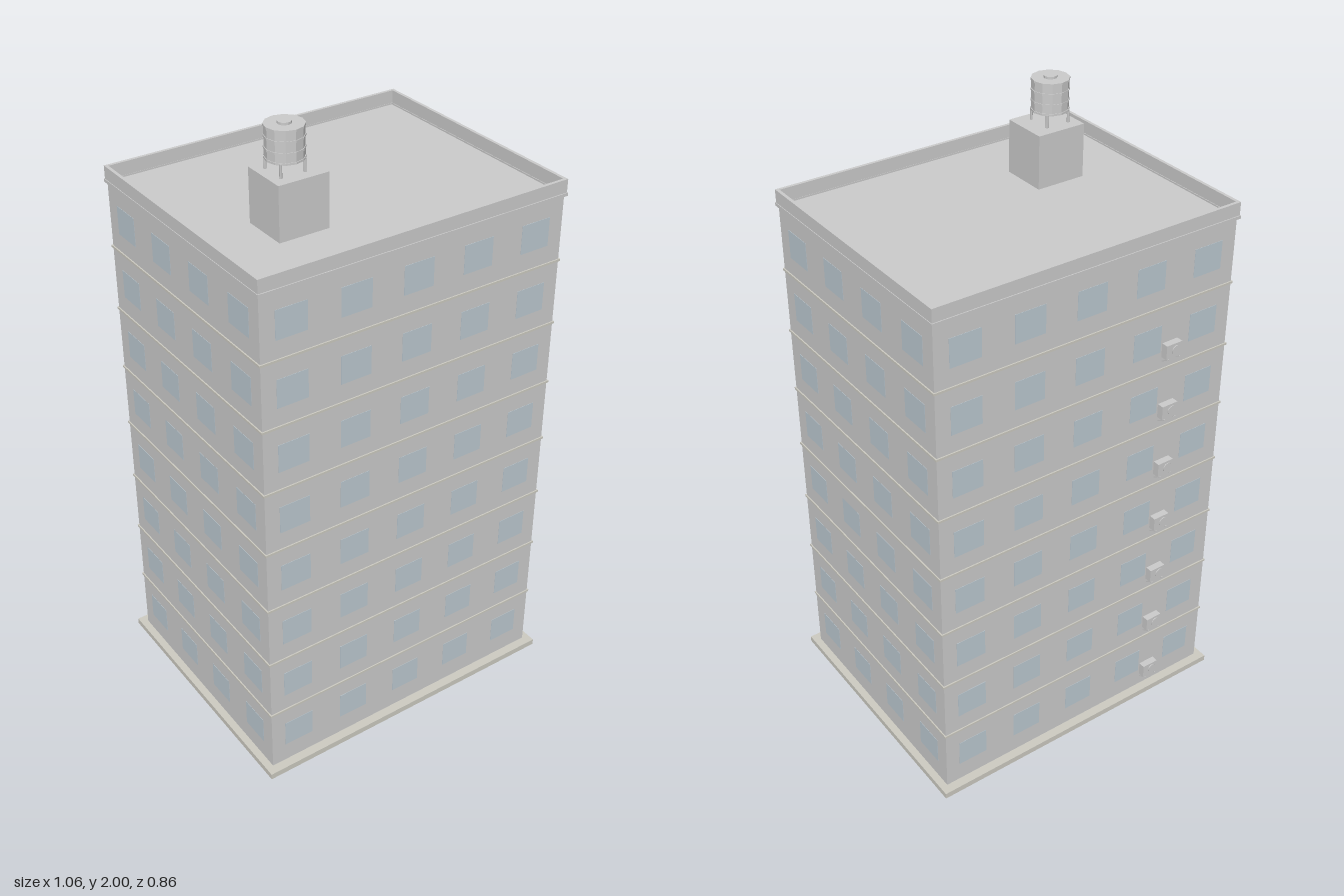
import * as THREE from 'three';

const grey = new THREE.MeshStandardMaterial({ color: 0xcccccc });
const glass = new THREE.MeshStandardMaterial({ color: 0xbcc9d1 });
const stone = new THREE.MeshStandardMaterial({ color: 0xcdcbc2 });
const tankMetal = new THREE.MeshStandardMaterial({ color: 0xcccccc, flatShading: true });

function add(parent, name, geometry, material, x, y, z) {
  const mesh = new THREE.Mesh(geometry, material);
  mesh.name = name;
  mesh.position.set(x, y, z);
  parent.add(mesh);
  return mesh;
}

// Box given by its size, its centre in x and z, and its bottom
function box(parent, name, w, h, d, x, y0, z, material = grey) {
  return add(parent, name, new THREE.BoxGeometry(w, h, d), material, x, y0 + h / 2, z);
}

// Rectangular ring, extruded upward from y0
function ring(parent, name, halfX, halfZ, thickness, height, y0, material = grey) {
  const rect = (path, a, b) =>
    path.moveTo(-a, -b).lineTo(a, -b).lineTo(a, b).lineTo(-a, b).closePath();
  const shape = rect(new THREE.Shape(), halfX, halfZ);
  shape.holes.push(rect(new THREE.Path(), halfX - thickness, halfZ - thickness));
  const geometry = new THREE.ExtrudeGeometry(shape, { depth: height, bevelEnabled: false });
  geometry.rotateX(-Math.PI / 2);
  return add(parent, name, geometry, material, 0, y0, 0);
}

const HALF_X = 0.508, HALF_Z = 0.403, ROOF = 1.695;
const FLOORS = 8, STEP = 0.2086;

function createWindows() {
  const windows = new THREE.Group();
  windows.name = 'windows';
  for (let floor = 0; floor < FLOORS; floor++) {
    const y = 0.085 + floor * STEP;
    for (const side of [-1, 1]) {
      for (let i = -2; i <= 2; i++)
        box(windows, 'window', 0.1, 0.09, 0.002, i * 0.205, y, side * HALF_Z, glass);
      for (let i = -1.5; i <= 1.5; i++)
        box(windows, 'window', 0.002, 0.09, 0.1, side * HALF_X, y, i * 0.203, glass);
    }
  }
  return windows;
}

// Wall-mounted air conditioner on two angled brackets
function createAirConditioner() {
  const unit = new THREE.Group();
  unit.name = 'airConditioner';
  box(unit, 'casing', 0.056, 0.046, 0.022, 0, 0, -0.015);
  const fan = add(unit, 'fan', new THREE.CylinderGeometry(0.016, 0.016, 0.003, 12), grey, -0.008, 0.023, -0.027);
  fan.rotation.x = Math.PI / 2;
  for (const x of [-0.02, 0.02]) {
    box(unit, 'bracketArm', 0.004, 0.003, 0.028, x, -0.003, -0.014);
    const strut = box(unit, 'bracketStrut', 0.004, 0.003, 0.029, x, -0.0115, -0.0125);
    strut.rotation.x = 0.55;
  }
  return unit;
}

// Round tank on four legs, with hoops and a hatch
function createWaterTank() {
  const tank = new THREE.Group();
  tank.name = 'waterTank';
  for (const x of [-0.038, 0.038])
    for (const z of [-0.038, 0.038])
      add(tank, 'tankLeg', new THREE.CylinderGeometry(0.004, 0.004, 0.04, 6), grey, x, 0.02, z);
  add(tank, 'tankBody', new THREE.CylinderGeometry(0.055, 0.055, 0.097, 12), tankMetal, 0, 0.0845, 0);
  for (const y of [0.04, 0.068, 0.1, 0.13])
    add(tank, 'tankHoop', new THREE.CylinderGeometry(0.057, 0.057, 0.006, 12), tankMetal, 0, y, 0);
  add(tank, 'tankHatch', new THREE.CylinderGeometry(0.02, 0.02, 0.007, 12), tankMetal, 0, 0.1365, 0);
  return tank;
}

export function createModel() {
  const model = new THREE.Group();
  model.name = 'apartmentBlock';

  // Plinth and main body
  box(model, 'plinth', 1.064, 0.02, 0.864, 0, 0, 0, stone);
  box(model, 'walls', HALF_X * 2, ROOF - 0.02, HALF_Z * 2, 0, 0.02, 0);

  // Thin string course between floors
  for (let i = 1; i < FLOORS; i++)
    ring(model, 'floorBand', HALF_X + 0.004, HALF_Z + 0.004, 0.008, 0.007, 0.022 + i * STEP, stone);

  // Cornice and parapet around the flat roof
  ring(model, 'cornice', HALF_X + 0.006, HALF_Z + 0.009, 0.014, 0.01, 1.69);
  ring(model, 'parapet', HALF_X + 0.004, HALF_Z + 0.006, 0.01, 0.046, 1.695);

  model.add(createWindows());

  // Air conditioners up the back wall
  for (let i = 0; i < 7; i++) {
    const unit = createAirConditioner();
    unit.position.set(-0.285, 0.071 + i * STEP, -HALF_Z);
    model.add(unit);
  }

  // Roof housing carrying the water tank
  box(model, 'roofHousing', 0.16, 0.165, 0.148, -0.234, ROOF, 0.129);
  const tank = createWaterTank();
  tank.position.set(-0.245, 1.86, 0.129);
  model.add(tank);

  return model;
}
